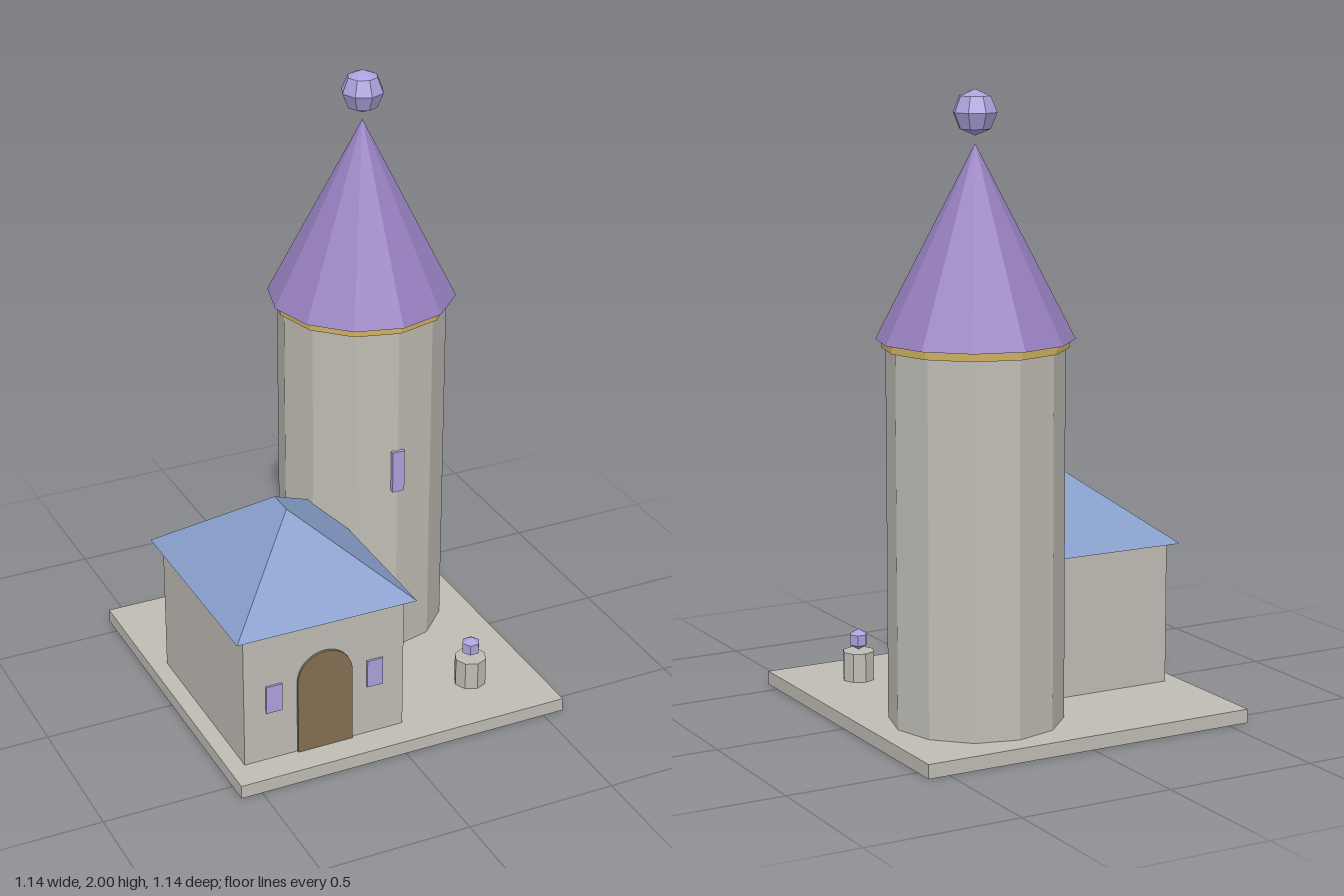
import * as THREE from 'three';
import { ConvexGeometry } from 'three/addons/geometries/ConvexGeometry.js';

const paint = (name, color) => {
  const m = new THREE.MeshStandardMaterial({ color });
  m.name = name;
  return m;
};

export function createModel() {
  const stone = paint('stone', 0xbfbcb4);
  const purple = paint('purple roof', 0x9780c0);
  const blue = paint('blue roof', 0x869dc9);
  const crystal = paint('lilac crystal', 0xaca2dc);
  const wood = paint('door wood', 0x846e53);
  const gold = paint('gold trim', 0xcdb160);

  const model = new THREE.Group();
  model.name = 'towerAndCottage';

  // Adds a faceted part
  const add = (parent, name, geometry, material, x, y, z) => {
    const flat = geometry.index ? geometry.toNonIndexed() : geometry;
    flat.computeVertexNormals();
    const mesh = new THREE.Mesh(flat, material);
    mesh.name = name;
    mesh.position.set(x, y, z);
    parent.add(mesh);
    return mesh;
  };
  const box = (w, h, d) => new THREE.BoxGeometry(w, h, d);
  const prism = (r, h, sides) => new THREE.CylinderGeometry(r, r, h, sides);
  const group = (name, x, z) => {
    const g = new THREE.Group();
    g.name = name;
    g.position.set(x, 0, z);
    model.add(g);
    return g;
  };

  // Ground slab
  add(model, 'baseSlab', box(1.14, 0.045, 1.14), stone, 0, 0.0225, 0);

  // Twelve-sided tower with pointed roof and floating orb
  const tower = group('tower', 0.217, -0.22);
  add(tower, 'towerWall', prism(0.275, 1.175, 12), stone, 0, 0.6325, 0);
  add(tower, 'towerTrim', prism(0.288, 0.026, 12), gold, 0, 1.229, 0);
  add(tower, 'towerRoof', new THREE.ConeGeometry(0.306, 0.595, 12), purple, 0, 1.5395, 0);
  add(tower, 'towerOrb', new THREE.SphereGeometry(0.07, 8, 4), crystal, 0, 1.93, 0);
  add(tower, 'towerWindow', box(0.042, 0.145, 0.016), crystal, 0, 0.718, 0.276);

  // Cottage
  const house = group('cottage', -0.24, 0.147);
  add(house, 'cottageWall', box(0.55, 0.465, 0.646), stone, 0, 0.2775, 0);

  // Hipped roof: eaves rectangle plus a short ridge
  const corners = [];
  for (const s of [-1, 1]) {
    corners.push(new THREE.Vector3(0, 0.245, s * 0.045));
    for (const t of [-1, 1]) corners.push(new THREE.Vector3(t * 0.306, 0, s * 0.353));
  }
  add(house, 'cottageRoof', new ConvexGeometry(corners), blue, 0, 0.51, 0);

  // Arched door
  const arch = new THREE.Shape();
  arch.moveTo(-0.094, 0);
  arch.lineTo(0.094, 0);
  arch.lineTo(0.094, 0.257);
  arch.absarc(0, 0.257, 0.094, 0, Math.PI, false);
  arch.closePath();
  const doorGeometry = new THREE.ExtrudeGeometry(arch, { depth: 0.009, bevelEnabled: false, curveSegments: 8 });
  add(house, 'door', doorGeometry, wood, 0, 0.045, 0.3225);

  // Windows either side of the door
  for (const s of [-1, 1]) {
    add(house, s < 0 ? 'rightWindow' : 'leftWindow', box(0.054, 0.096, 0.009), crystal, s * 0.174, 0.268, 0.326);
  }

  // Small pedestal with crystal
  const pedestal = group('pedestal', 0.346, 0.346);
  add(pedestal, 'pedestalPost', prism(0.053, 0.095, 8), stone, 0, 0.0925, 0);
  add(pedestal, 'pedestalCrystal', new THREE.SphereGeometry(0.035, 6, 3), crystal, 0, 0.179, 0);

  return model;
}
